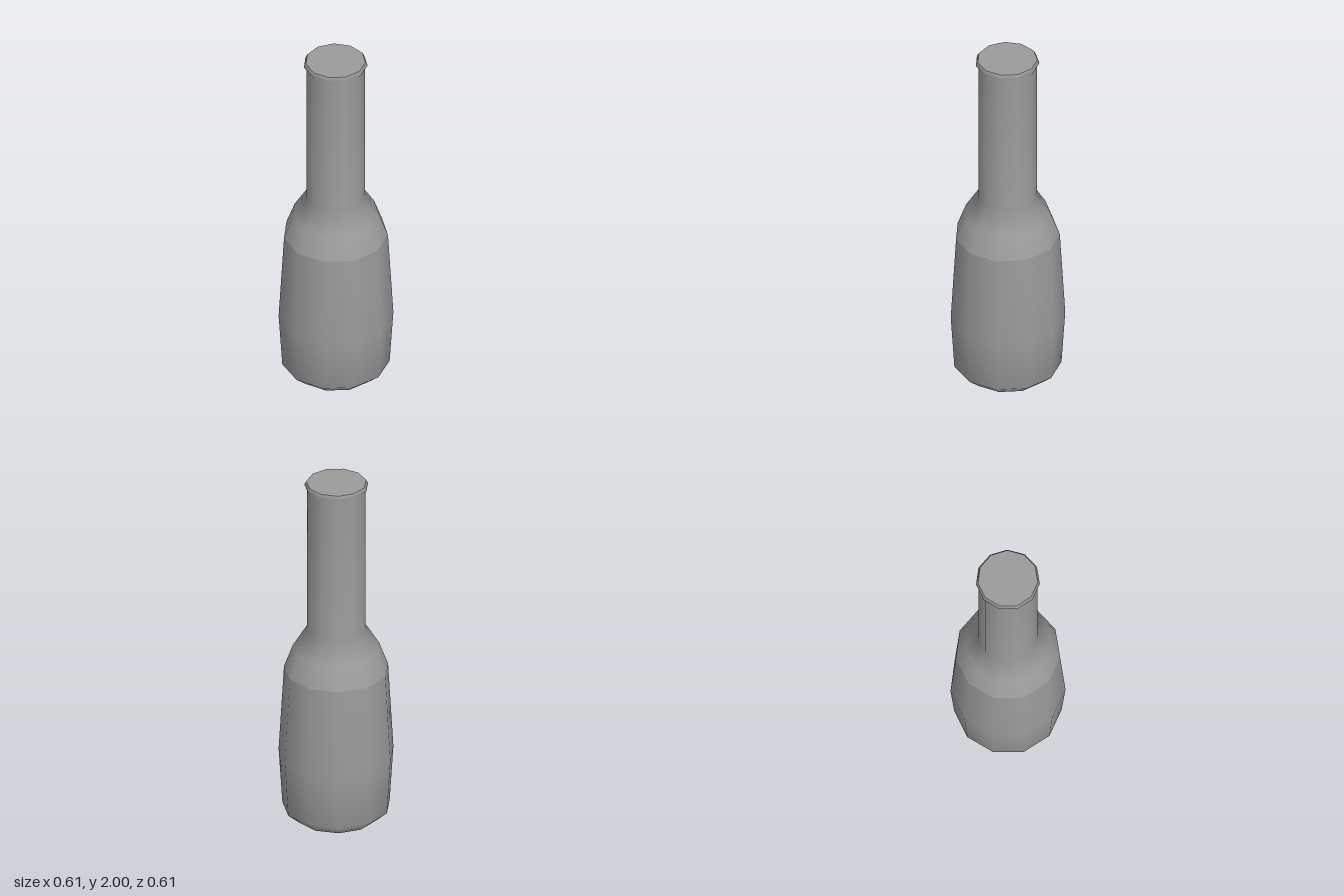
import * as THREE from 'three';

const SIDES = 11;

export function createModel() {
  const bottle = new THREE.Group();
  bottle.name = 'bottle';
  const material = new THREE.MeshStandardMaterial({ color: 0x9b9b9b });

  // Eleven-sided turned section, with one corner pointing to +x
  function addTurned(name, profile) {
    const points = profile.map(([r, y]) => new THREE.Vector2(r, y));
    const mesh = new THREE.Mesh(new THREE.LatheGeometry(points, SIDES, Math.PI / 2), material);
    mesh.name = name;
    bottle.add(mesh);
  }

  // Flat disc facing up or down
  function addCap(name, radius, y, up) {
    const mesh = new THREE.Mesh(new THREE.CircleGeometry(radius, SIDES), material);
    mesh.rotation.x = up ? -Math.PI / 2 : Math.PI / 2;
    mesh.position.y = y;
    mesh.name = name;
    bottle.add(mesh);
  }

  // Bulging lower body; its sharp upper edge meets the shoulder
  addTurned('body', [[0.222, 0], [0.29, 0.06], [0.31, 0.38], [0.281, 0.88]]);

  // Shoulder, straight neck and rounded lip in one smooth sweep
  addTurned('shoulderNeckAndLip', [
    [0.281, 0.88], [0.233, 1.01], [0.159, 1.13],
    [0.159, 1.96], [0.172, 1.98], [0.161, 2],
  ]);

  addCap('base', 0.222, 0, false);
  addCap('top', 0.161, 2, true);

  // Centre the odd-sided outline on x = 0
  bottle.children.forEach((mesh) => { mesh.position.x = -0.0063; });
  return bottle;
}
